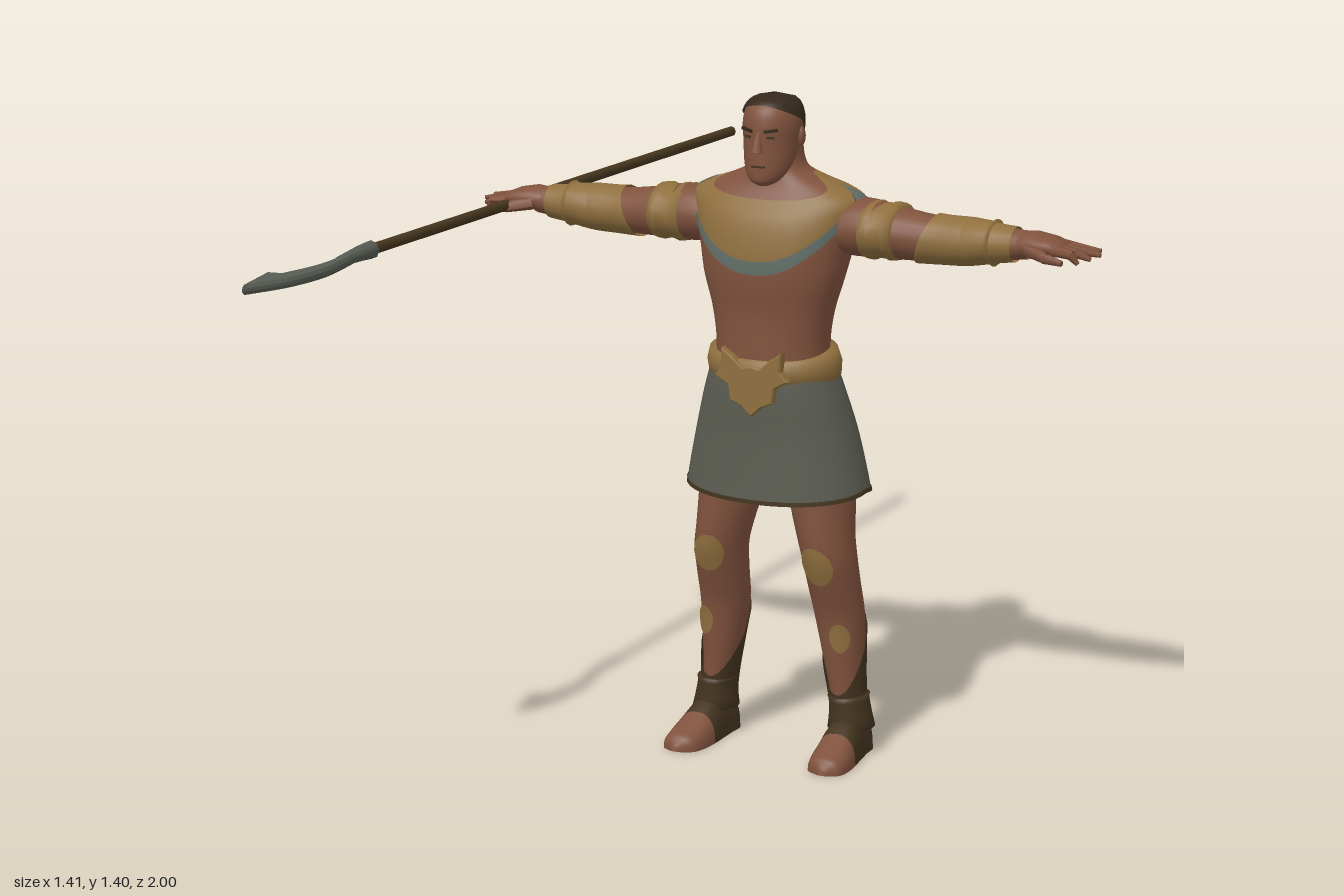
import * as THREE from 'three';
import { mergeVertices, mergeGeometries } from 'three/addons/utils/BufferGeometryUtils.js';

const mat = (name, color) => {
  const m = new THREE.MeshStandardMaterial({ color, side: THREE.DoubleSide });
  m.name = name;
  return m;
};

// Rings are [t, centreA, centreB, radiusA, radiusB]; smooth interpolation along t
function ringAt(rings, t) {
  const n = rings.length - 1;
  let i = 0;
  while (i < n - 1 && t > rings[i + 1][0]) i++;
  const a = rings[i], b = rings[i + 1], h = b[0] - a[0], u = (t - a[0]) / h;
  const p = rings[Math.max(i - 1, 0)], q = rings[Math.min(i + 2, n)];
  return [1, 2, 3, 4].map((k) => {
    const m0 = (b[k] - p[k]) / (b[0] - p[0]) * h, m1 = (q[k] - a[k]) / (q[0] - a[0]) * h;
    const v = (2 * u ** 3 - 3 * u * u + 1) * a[k] + (u ** 3 - 2 * u * u + u) * m0
      + (3 * u * u - 2 * u ** 3) * b[k] + (u ** 3 - u * u) * m1;
    return k > 2 ? Math.max(v, 0.001) : v;
  });
}

// Skin over rings; lo/hi bound it along t for each angle, th0/th1 around it
function loft(rings, axis, o = {}) {
  const { lo, hi, off = 0, e = 1, seg = 28, th0 = 0, th1 = Math.PI * 2, flat = false } = o;
  const rows = lo ? (o.rows || 16) : rings.length - 1;
  const pos = [], idx = [], pw = (v) => Math.sign(v) * Math.abs(v) ** e;
  for (let j = 0; j <= rows; j++) {
    for (let i = 0; i <= seg; i++) {
      const th = th0 + (th1 - th0) * (i === seg && th1 - th0 > 6.28 ? 0 : i / seg);
      const t = lo ? lo(th) + (hi(th) - lo(th)) * j / rows : rings[j][0];
      const [a, b, ra, rb] = lo ? ringAt(rings, t) : rings[j].slice(1);
      const p = a + (ra + off) * pw(Math.cos(th));
      let q = b + (rb + off) * pw(Math.sin(th));
      if (flat) q = Math.max(q, 0);
      pos.push(...(axis === 'y' ? [p, t, q] : axis === 'x' ? [t, p, q] : [p, q, t]));
    }
  }
  for (let j = 0; j < rows; j++) for (let i = 0; i < seg; i++) {
    const a = j * (seg + 1) + i, b = a + 1, c = a + seg + 1, d = c + 1;
    if (axis === 'y') idx.push(a, c, b, b, c, d);
    else idx.push(a, b, c, b, d, c);
  }
  let g = new THREE.BufferGeometry();
  g.setAttribute('position', new THREE.Float32BufferAttribute(pos, 3));
  g.setIndex(idx);
  g = mergeVertices(g, 1e-5);
  g.computeVertexNormals();
  return g;
}

// Tapered rod between two points
function rod(a, b, r0, r1, sides = 8) {
  const A = new THREE.Vector3(...a), B = new THREE.Vector3(...b), d = B.clone().sub(A);
  const g = new THREE.CylinderGeometry(r1, r0, d.length(), sides);
  g.applyQuaternion(new THREE.Quaternion().setFromUnitVectors(new THREE.Vector3(0, 1, 0), d.clone().normalize()));
  return g.translate(...A.add(B).multiplyScalar(0.5).toArray());
}

function mirror(geo) {
  const g = geo.clone().scale(-1, 1, 1), ix = g.index.array;
  for (let i = 0; i < ix.length; i += 3) [ix[i], ix[i + 1]] = [ix[i + 1], ix[i]];
  g.computeVertexNormals();
  return g;
}

export function createModel() {
  const root = new THREE.Group();
  const skin = mat('skin', 0x80523d), gold = mat('gold', 0x8f6f3e), cloth = mat('greyCloth', 0x5b5c51),
    trim = mat('blueGreyTrim', 0x626e68), leather = mat('darkLeather', 0x43341f), hair = mat('hair', 0x35291b),
    wood = mat('spearWood', 0x47371f), steel = mat('steel', 0x575c53);
  const add = (name, geo, m) => {
    const mesh = new THREE.Mesh(geo, m);
    mesh.name = name;
    root.add(mesh);
  };
  const pair = (name, geo, m) => {
    add(name + 'Left', geo, m);
    add(name + 'Right', mirror(geo), m);
  };
  const c = (v) => () => v, front = (th) => Math.max(0, Math.sin(th));

  // Torso, collar and neck share one surface
  const body = [[0.8, 0, 0.01, 0.125, 0.095], [0.88, 0, 0.013, 0.12, 0.09], [0.95, 0, 0.012, 0.13, 0.09],
    [1.02, 0, 0.008, 0.15, 0.1], [1.08, 0, -0.003, 0.163, 0.11], [1.14, 0, -0.012, 0.178, 0.106],
    [1.185, 0, -0.02, 0.187, 0.09], [1.205, 0, -0.022, 0.155, 0.08], [1.225, 0, -0.015, 0.1, 0.066],
    [1.245, 0, -0.008, 0.062, 0.056], [1.3, 0, -0.004, 0.05, 0.05]];
  const hem = (th) => 1.19 - 0.15 * Math.abs(Math.sin(th)) ** 1.2;
  const neckline = (th) => 1.235 - 0.05 * front(th);
  const opt = { e: 0.88, seg: 48 };
  add('torso', loft(body, 'y', { ...opt, lo: c(0.8), hi: hem, rows: 24 }), skin);
  add('collar', loft(body, 'y', { ...opt, lo: hem, hi: neckline }), gold);
  add('collarTrim', loft(body, 'y', { ...opt, lo: (t) => hem(t) - 0.004, hi: (t) => hem(t) + 0.024, off: 0.004, rows: 5 }), trim);
  add('neck', loft(body, 'y', { ...opt, lo: neckline, hi: c(1.3) }), skin);

  // Head
  const head = [[1.213, 0, 0.058, 0.012, 0.012], [1.22, 0, 0.054, 0.027, 0.028], [1.235, 0, 0.043, 0.041, 0.042],
    [1.26, 0, 0.03, 0.051, 0.055], [1.3, 0, 0.018, 0.057, 0.066], [1.34, 0, 0.014, 0.06, 0.069],
    [1.37, 0, 0.012, 0.052, 0.061], [1.387, 0, 0.01, 0.033, 0.04], [1.393, 0, 0.01, 0.003, 0.004]];
  add('head', loft(head, 'y', { lo: c(1.213), hi: c(1.393), rows: 28 }), skin);
  add('hairCap', loft(head, 'y', { lo: (t) => 1.343 + 0.032 * Math.sin(t) - 0.035 * front(-t), hi: c(1.393), off: 0.004, rows: 10 }).translate(0, 0.003, 0), hair);
  add('ponytail', mergeGeometries([rod([0, 1.325, -0.045], [0, 1.295, -0.066], 0.02, 0.013), rod([0, 1.3, -0.063], [0, 1.245, -0.085], 0.014, 0.003)]), hair);
  add('nose', rod([0, 1.325, 0.079], [0, 1.283, 0.088], 0.005, 0.012, 6), skin);
  add('mouth', new THREE.BoxGeometry(0.03, 0.004, 0.006).translate(0, 1.254, 0.083), leather);
  pair('ear', new THREE.SphereGeometry(1, 10, 8).scale(0.007, 0.02, 0.012).translate(0.06, 1.31, 0.005), skin);
  pair('brow', new THREE.BoxGeometry(0.028, 0.006, 0.008).rotateZ(0.15).rotateY(0.35).translate(0.026, 1.328, 0.078), hair);
  pair('eye', new THREE.BoxGeometry(0.016, 0.005, 0.006).rotateY(0.35).translate(0.025, 1.314, 0.077), leather);

  // Skirt, hem and shorts
  const skirt = [[0.55, 0, -0.013, 0.204, 0.13], [0.6, 0, -0.011, 0.196, 0.125], [0.7, 0, -0.006, 0.174, 0.116],
    [0.78, 0, 0.004, 0.152, 0.106], [0.84, 0, 0.01, 0.132, 0.098]];
  const skirtLow = (t) => 0.577 - 0.017 * Math.abs(Math.sin(t));
  add('skirt', loft(skirt, 'y', { lo: skirtLow, hi: c(0.84), seg: 40, e: 0.92 }), cloth);
  add('skirtHem', loft(skirt, 'y', { lo: (t) => skirtLow(t) - 0.003, hi: (t) => skirtLow(t) + 0.006, seg: 40, e: 0.92, rows: 1, off: 0.002 }), leather);
  add('shorts', loft([[0.56, 0, -0.01, 0.02, 0.03], [0.6, 0, -0.01, 0.1, 0.075], [0.65, 0, -0.01, 0.145, 0.088], [0.81, 0, 0, 0.125, 0.09]], 'y'), leather);

  // Belt and buckle
  const belt = loft([[-0.03, 0, 0, 0.125, 0.085], [-0.028, 0, 0, 0.143, 0.106], [0, 0, 0, 0.146, 0.109],
    [0.026, 0, 0, 0.139, 0.104], [0.03, 0, 0, 0.115, 0.085]], 'y', { seg: 36 });
  add('belt', belt.rotateX(0.13).translate(0, 0.842, 0.008), gold);
  const half = [[0, 0.845], [0.02, 0.84], [0.045, 0.862], [0.067, 0.877], [0.064, 0.84], [0.078, 0.822], [0.05, 0.806], [0.046, 0.775], [0.022, 0.765], [0, 0.745]];
  const outline = [...half, ...half.slice(1, -1).reverse().map(([x, y]) => [-x, y])].map((p) => new THREE.Vector2(...p));
  add('buckle', new THREE.ExtrudeGeometry(new THREE.Shape(outline), { depth: 0.016, bevelSize: 0.003, bevelThickness: 0.004, bevelSegments: 1 }).translate(0, 0, 0.1), gold);

  // Arms with bands and bracers
  const arm = [[0.13, 1.125, -0.02, 0.05, 0.065], [0.18, 1.13, -0.02, 0.06, 0.07], [0.24, 1.127, -0.02, 0.056, 0.068],
    [0.31, 1.122, -0.017, 0.05, 0.056], [0.37, 1.12, -0.016, 0.046, 0.05], [0.43, 1.121, -0.015, 0.044, 0.05],
    [0.5, 1.124, -0.01, 0.034, 0.038], [0.56, 1.127, -0.006, 0.028, 0.034]];
  pair('arm', loft(arm, 'x', { lo: c(0.13), hi: c(0.56), seg: 20 }), skin);
  pair('armband', loft([[0.204, 1.127, -0.02, 0.05, 0.06], [0.206, 1.127, -0.02, 0.059, 0.076], [0.222, 1.127, -0.02, 0.061, 0.077],
    [0.225, 1.127, -0.02, 0.057, 0.073], [0.255, 1.127, -0.02, 0.056, 0.072], [0.258, 1.127, -0.02, 0.06, 0.076],
    [0.274, 1.127, -0.02, 0.058, 0.074], [0.277, 1.127, -0.02, 0.045, 0.055]], 'x', { seg: 20 }), gold);
  pair('bracer', loft(arm, 'x', { lo: (t) => 0.335 + 0.02 * Math.cos(t), hi: c(0.53), off: 0.005, seg: 20 }), gold);
  pair('bracerCuff', loft([[0.422, 1.122, -0.014, 0.04, 0.045], [0.425, 1.122, -0.014, 0.049, 0.055], [0.475, 1.124, -0.012, 0.043, 0.05],
    [0.483, 1.124, -0.012, 0.048, 0.052], [0.486, 1.124, -0.012, 0.03, 0.035]], 'x', { seg: 20 }), gold);

  // Hands
  pair('palm', loft([[0.525, 1.126, -0.006, 0.02, 0.028], [0.54, 1.127, -0.006, 0.028, 0.033], [0.57, 1.131, -0.007, 0.026, 0.041],
    [0.605, 1.13, -0.008, 0.02, 0.046], [0.632, 1.126, -0.009, 0.013, 0.043], [0.638, 1.125, -0.009, 0.002, 0.03]], 'x', { seg: 16 }), skin);
  const fingers = [];
  [[0.024, 0.672, 1.103], [0.002, 0.69, 1.11], [-0.02, 0.703, 1.116], [-0.042, 0.695, 1.12]].forEach(([z, x, y]) => {
    fingers.push(rod([0.615, 1.127, z], [0.662, 1.121, z], 0.012, 0.01, 6), rod([0.655, 1.122, z], [x, y, z - 0.003], 0.0105, 0.005, 6));
  });
  fingers.push(rod([0.565, 1.124, 0.02], [0.615, 1.113, 0.046], 0.016, 0.011, 6), rod([0.608, 1.114, 0.044], [0.65, 1.108, 0.052], 0.011, 0.006, 6));
  pair('fingers', mergeGeometries(fingers), skin);

  // Legs with knee pads, shin plates and greaves
  const leg = [[0.05, 0.158, -0.034, 0.034, 0.043], [0.13, 0.15, -0.034, 0.034, 0.045], [0.22, 0.141, -0.032, 0.043, 0.05],
    [0.3, 0.134, -0.029, 0.052, 0.056], [0.37, 0.13, -0.01, 0.054, 0.061], [0.43, 0.126, 0.004, 0.055, 0.067],
    [0.48, 0.117, 0.004, 0.058, 0.072], [0.55, 0.106, -0.004, 0.066, 0.079], [0.72, 0.09, -0.005, 0.07, 0.08]];
  pair('leg', loft(leg, 'y', { lo: c(0.05), hi: c(0.72), rows: 36, seg: 22 }), skin);
  const plate = (y, h, th0, th1) => {
    const w = (t) => h * Math.max(0, Math.sin((t - th0) / (th1 - th0) * Math.PI)) ** 0.5;
    return loft(leg, 'y', { lo: (t) => y - w(t), hi: (t) => y + w(t), th0, th1, off: 0.006, rows: 6, seg: 14 });
  };
  pair('kneePad', plate(0.425, 0.042, 0.95, 2.2), gold);
  pair('shinPlate', plate(0.262, 0.032, 0.75, 1.6), gold);
  pair('greave', loft(leg, 'y', { lo: c(0.08), hi: (t) => 0.225 - 0.09 * Math.sin(t), off: 0.005, seg: 22 }), leather);
  pair('ankleCuff', loft([[0.055, 0.16, -0.033, 0.035, 0.045], [0.058, 0.16, -0.032, 0.049, 0.056], [0.085, 0.158, -0.032, 0.044, 0.053],
    [0.118, 0.155, -0.032, 0.04, 0.051], [0.127, 0.154, -0.032, 0.043, 0.052], [0.13, 0.154, -0.032, 0.032, 0.042]], 'y', { seg: 20 }), leather);

  // Feet: leather boot with bare toes
  const foot = [[-0.085, 0.157, 0, 0.01, 0.03], [-0.075, 0.157, 0, 0.034, 0.07], [-0.03, 0.159, 0, 0.038, 0.09], [0.02, 0.162, 0, 0.042, 0.08],
    [0.06, 0.165, 0, 0.045, 0.058], [0.1, 0.168, 0, 0.043, 0.04], [0.125, 0.17, 0, 0.033, 0.03], [0.137, 0.171, 0, 0.008, 0.012]];
  pair('boot', loft(foot, 'z', { lo: c(-0.085), hi: c(0.05), e: 0.8, flat: true, seg: 24 }), leather);
  pair('toes', loft(foot, 'z', { lo: c(0.05), hi: c(0.137), e: 0.8, flat: true, seg: 24 }), skin);

  // Spear
  const sx = -0.615, sy = 1.117;
  add('spearShaft', rod([sx, sy, -1], [sx, sy, 0.6], 0.012, 0.012), wood);
  add('spearSocket', mergeGeometries([rod([sx, sy, 0.57], [sx, sy, 0.6], 0.019, 0.017), rod([sx, sy, 0.6], [-0.613, 1.114, 0.69], 0.017, 0.011)]), steel);
  const blade = new THREE.Shape();
  blade.moveTo(-0.626, 0.64);
  blade.splineThru([[-0.614, 0.7], [-0.612, 0.78], [-0.628, 0.868]].map((p) => new THREE.Vector2(...p)));
  blade.lineTo(-0.658, 0.872);
  blade.lineTo(-0.63, 0.996);
  blade.splineThru([[-0.592, 0.9], [-0.58, 0.8], [-0.59, 0.72], [-0.606, 0.64]].map((p) => new THREE.Vector2(...p)));
  const bladeGeo = new THREE.ExtrudeGeometry(blade, { depth: 0.006, bevelThickness: 0.007, bevelSize: 0.004, bevelOffset: -0.002, bevelSegments: 1, curveSegments: 6 });
  add('spearBlade', bladeGeo.rotateX(Math.PI / 2).translate(0, 1.117, 0), steel);
  return root;
}
